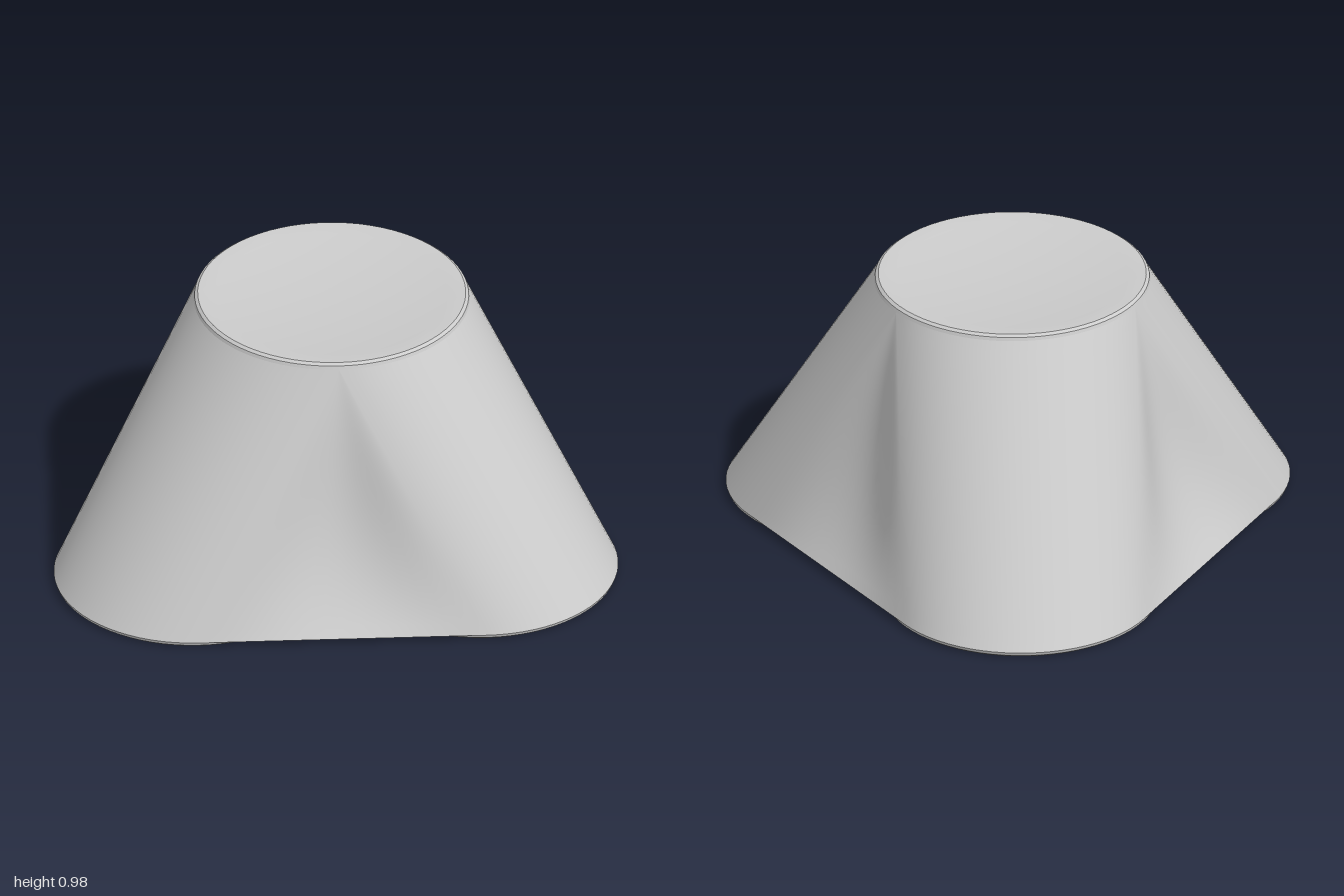
import * as THREE from 'three';
import { toCreasedNormals } from 'three/addons/utils/BufferGeometryUtils.js';

const R = 0.49;          // radius of every port
const SPREAD = 0.59;     // distance of the lower ports from the axis
const CZ = 0.147;        // axis position in z
const Y0 = 0.02, Y1 = 0.96, TOP = 0.98;
const LEGS = [1, 3, 5].map((k) => (k * Math.PI) / 3);
const ARC = 24, FLAT = 16, ROWS = 24;

// Cross-section at t (0 = base, 1 = top): three arcs joined by hollowed sides
function section(t) {
  const s = SPREAD * (1 - t);
  const dip = 0.4 * t * (1 - t) ** 2;
  const onArc = (phi, a) => new THREE.Vector2(
    s * Math.sin(phi) + R * Math.sin(a), CZ + s * Math.cos(phi) + R * Math.cos(a));
  const pts = [];
  for (const phi of LEGS) {
    for (let i = 0; i <= ARC; i++) pts.push(onArc(phi, phi + (i / ARC - 0.5) * (2 * Math.PI / 3)));
    const n = phi + Math.PI / 3;
    const a = onArc(phi, n), b = onArc(phi + 2 * Math.PI / 3, n);
    for (let i = 1; i < FLAT; i++) {
      const u = i / FLAT, d = dip * Math.sin(Math.PI * u) ** 2;
      const p = a.clone().lerp(b, u);
      pts.push(p.set(p.x - d * Math.sin(n), p.y - d * Math.cos(n)));
    }
  }
  return pts;
}

// Outer wall lofted from the rounded triangle to the circle
function wallGeometry() {
  const pos = [], idx = [];
  let n = 0;
  for (let i = 0; i <= ROWS; i++) {
    const t = i / ROWS, ring = section(t);
    n = ring.length;
    for (const p of ring) pos.push(p.x, Y0 + (Y1 - Y0) * t, p.y);
  }
  for (let i = 0; i < ROWS; i++) {
    for (let j = 0; j < n; j++) {
      const a = i * n + j, b = i * n + ((j + 1) % n);
      idx.push(a, b, b + n, a, b + n, a + n);
    }
  }
  const g = new THREE.BufferGeometry();
  g.setAttribute('position', new THREE.Float32BufferAttribute(pos, 3));
  g.setIndex(idx);
  g.computeVertexNormals();
  return g;
}

// Web between the lower ports, facing down
function webGeometry() {
  const shape = new THREE.Shape(section(0));
  for (const phi of LEGS) {
    const hole = new THREE.Path();
    hole.absarc(SPREAD * Math.sin(phi), CZ + SPREAD * Math.cos(phi), R - 0.004, 0, Math.PI * 2, true);
    shape.holes.push(hole);
  }
  return new THREE.ShapeGeometry(shape, 36).rotateX(Math.PI / 2).translate(0, Y0, 0);
}

// Port with a softened rim and a slightly dished face
function portGeometry(up) {
  const profile = [[R, 0], [R - 0.004, 0.012], [R - 0.015, 0.02]];
  for (let i = 0; i <= 8; i++) {
    const r = (R - 0.02) * (1 - i / 8);
    profile.push([r, 0.02 - 0.03 * (1 - (r / (R - 0.02)) ** 2)]);
  }
  const pts = profile.map(([r, h]) => new THREE.Vector2(r, up ? h : -h));
  if (!up) pts.reverse();
  return toCreasedNormals(new THREE.LatheGeometry(pts, 72), 0.6);
}

export function createModel() {
  const model = new THREE.Group();
  model.name = 'threeToOneAdapter';
  const grey = new THREE.MeshStandardMaterial({ color: 0xcccccc });
  const web = grey.clone();
  web.side = THREE.DoubleSide;
  const add = (name, geometry, material, x = 0, y = 0, z = 0) => {
    const mesh = new THREE.Mesh(geometry, material);
    mesh.name = name;
    mesh.position.set(x, y, z);
    model.add(mesh);
  };

  add('outerWall', wallGeometry(), grey);
  add('bottomWeb', webGeometry(), web);
  add('topPort', portGeometry(true), grey, 0, TOP - 0.02, CZ);
  const lower = portGeometry(false);
  LEGS.forEach((phi, i) => add(['leftPort', 'backPort', 'rightPort'][i], lower, grey,
    SPREAD * Math.sin(phi), Y0, CZ + SPREAD * Math.cos(phi)));
  return model;
}
